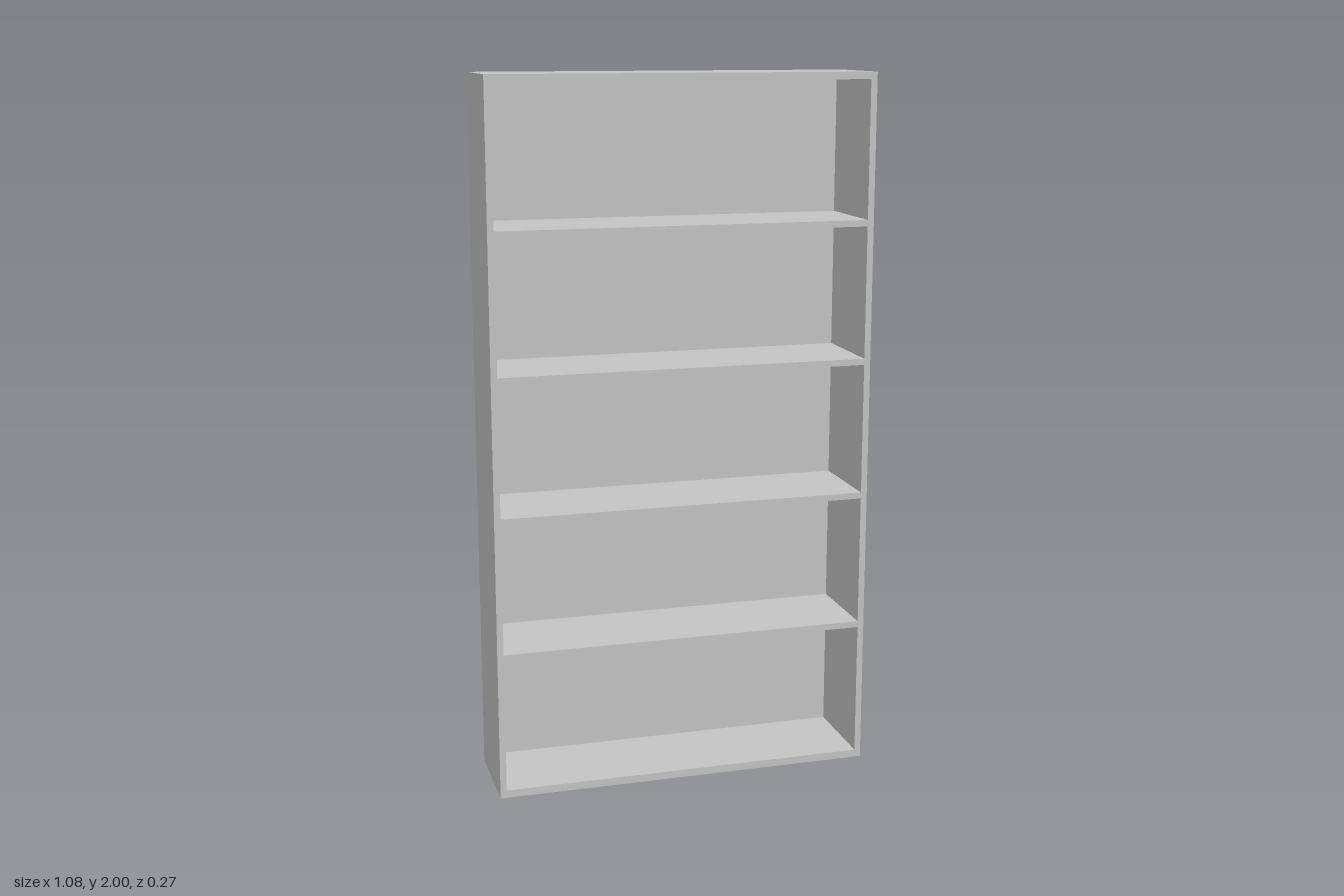
import * as THREE from 'three';

export function createModel() {
  const group = new THREE.Group();
  group.name = 'bookcase';
  const grey = new THREE.MeshStandardMaterial({ color: 0xc4c4c4 });
  grey.name = 'light grey';

  const W = 1.084, H = 2, D = 0.272; // overall size
  const side = 0.018, backT = 0.01;
  const bottom = 0.022, top = 0.02, shelfT = 0.018;
  const innerW = W - 2 * side;

  // One continuous frame: outer outline with a hole for each compartment
  const rect = (path, x0, y0, x1, y1) => {
    path.moveTo(x0, y0);
    path.lineTo(x1, y0);
    path.lineTo(x1, y1);
    path.lineTo(x0, y1);
    path.closePath();
    return path;
  };
  const frame = rect(new THREE.Shape(), -W / 2, 0, W / 2, H);
  const shelfY = [0.416, 0.806, 1.197, 1.588]; // shelf centres
  const floors = [bottom, ...shelfY.map((y) => y + shelfT / 2)];
  const ceilings = [...shelfY.map((y) => y - shelfT / 2), H - top];
  floors.forEach((y, i) => {
    frame.holes.push(rect(new THREE.Path(), -innerW / 2, y, innerW / 2, ceilings[i]));
  });
  const frameGeo = new THREE.ExtrudeGeometry(frame, { depth: D - backT, bevelEnabled: false });
  frameGeo.translate(0, 0, -D / 2 + backT);
  const frameMesh = new THREE.Mesh(frameGeo, grey);
  frameMesh.name = 'frameAndShelves';
  group.add(frameMesh);

  // Thin panel closing the back
  const back = new THREE.Mesh(new THREE.BoxGeometry(W, H, backT), grey);
  back.position.set(0, H / 2, -D / 2 + backT / 2);
  back.name = 'backPanel';
  group.add(back);

  return group;
}
